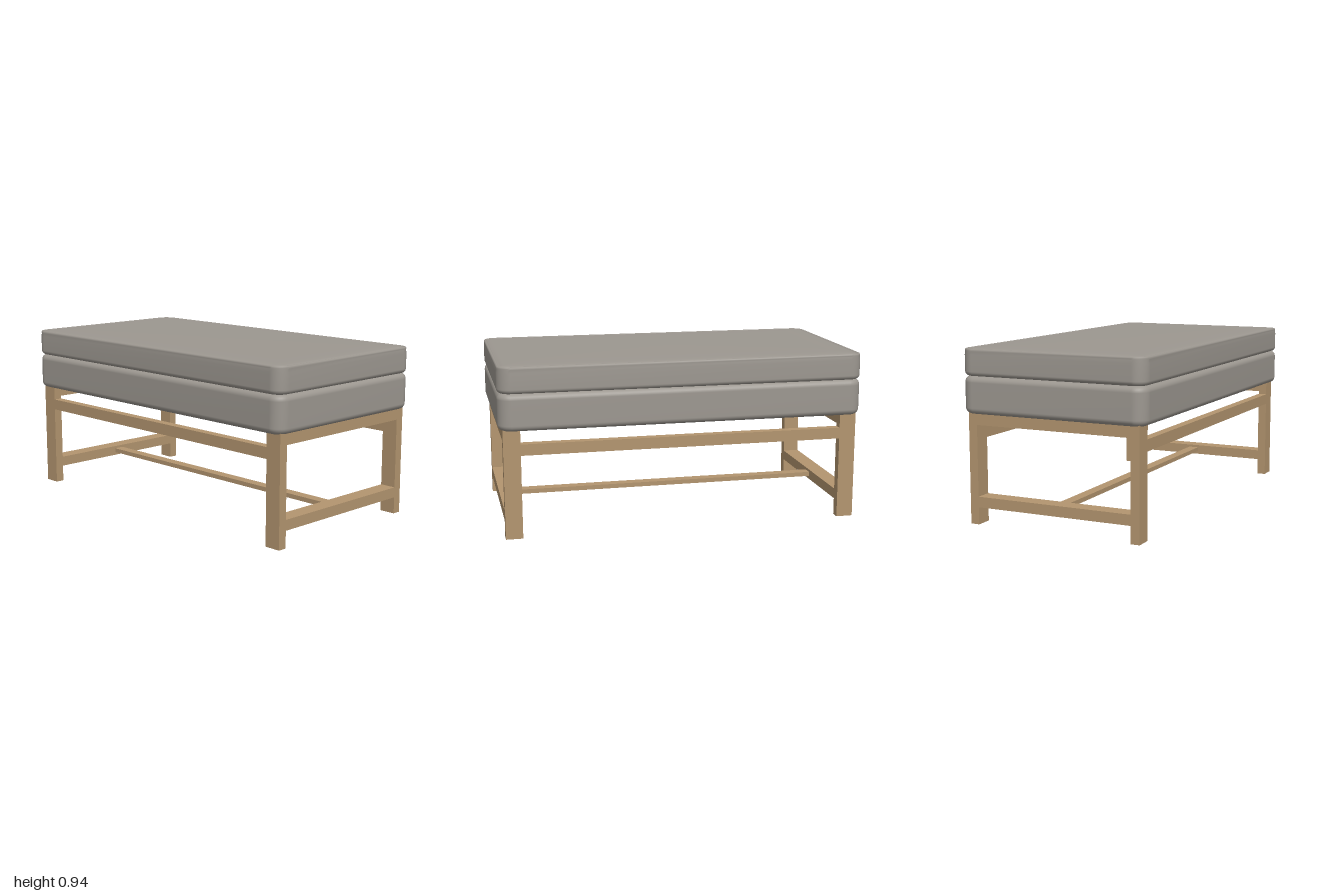
import * as THREE from 'three';

// Rounded-rectangle loop in plan, inset from the cushion's outer edge
function ring(halfX, halfZ, radius, inset, y, steps = 8) {
  const r = Math.max(radius - inset, 0.012);
  const cx = halfX - inset - r, cz = halfZ - inset - r;
  const pts = [];
  [[1, 1], [-1, 1], [-1, -1], [1, -1]].forEach(([sx, sz], q) => {
    for (let i = 0; i <= steps; i++) {
      const a = (q + i / steps) * Math.PI / 2;
      pts.push([sx * cx + r * Math.cos(a), y, sz * cz + r * Math.sin(a)]);
    }
  });
  return pts;
}

// Skin a cushion through [inset, y] profile points, bottom to top, with flat caps
function cushionGeometry(halfX, halfZ, radius, profile) {
  const rings = profile.map(([inset, y]) => ring(halfX, halfZ, radius, inset, y));
  const n = rings[0].length, last = (rings.length - 1) * n;
  const pos = rings.flat(2), index = [];
  for (let k = 0; k < rings.length - 1; k++) {
    for (let i = 0; i < n; i++) {
      const j = (i + 1) % n;
      const a = k * n + i, b = k * n + j, c = a + n, d = b + n;
      index.push(a, c, b, b, c, d);
    }
  }
  const bottom = pos.length / 3, top = bottom + 1;
  pos.push(0, profile[0][1], 0, 0, profile[profile.length - 1][1], 0);
  for (let i = 0; i < n; i++) {
    const j = (i + 1) % n;
    index.push(bottom, i, j, top, last + j, last + i);
  }
  const geo = new THREE.BufferGeometry();
  geo.setAttribute('position', new THREE.Float32BufferAttribute(pos, 3));
  geo.setIndex(index);
  geo.computeVertexNormals();
  return geo;
}

// Quarter-round edge of the profile; dir -1 is the lower edge, +1 the upper edge
function roundEdge(y, r, dir) {
  const out = [];
  for (let i = 0; i <= 6; i++) {
    const a = (i / 6) * Math.PI / 2;
    out.push([r * (1 - Math.cos(a)), y - dir * r * (1 - Math.sin(a))]);
  }
  return dir < 0 ? out.reverse() : out;
}

export function createModel() {
  const model = new THREE.Group();
  model.name = 'upholsteredBench';
  const wood = new THREE.MeshStandardMaterial({ color: 0xb3956f });
  wood.name = 'lightWood';
  const fabric = new THREE.MeshStandardMaterial({ color: 0x9c9790 });
  fabric.name = 'greyFabric';

  const add = (name, geo, mat) => {
    const mesh = new THREE.Mesh(geo, mat);
    mesh.name = name;
    model.add(mesh);
    return mesh;
  };
  // Box given by its minimum and maximum corners
  const beam = (name, x0, x1, y0, y1, z0, z1) =>
    add(name, new THREE.BoxGeometry(x1 - x0, y1 - y0, z1 - z0), wood)
      .position.set((x0 + x1) / 2, (y0 + y1) / 2, (z0 + z1) / 2);

  const legIn = 0.885, legOut = 0.977, zIn = 0.445, zOut = 0.494;

  for (const [side, s] of [['left', 1], ['right', -1]]) {
    const x0 = s > 0 ? legIn : -legOut, x1 = s > 0 ? legOut : -legIn;
    // Legs
    beam(side + 'FrontLeg', x0, x1, 0, 0.598, zIn, zOut);
    beam(side + 'BackLeg', x0, x1, 0, 0.598, -zOut, -zIn);
    // Upper side rail and lower stretcher
    beam(side + 'SideRail', x0, x1, 0.533, 0.595, -zIn, zIn);
    beam(side + 'SideStretcher', x0, x1, 0.093, 0.15, -zIn, zIn);
  }
  // Long rails, front and back
  beam('frontRail', -legIn, legIn, 0.455, 0.516, zIn, zOut);
  beam('backRail', -legIn, legIn, 0.455, 0.516, -zOut, -zIn);
  // Thin stretcher along the middle
  beam('centreStretcher', -legIn, legIn, 0.111, 0.136, -0.03, 0.03);

  // Thick seat base, rounded all round
  add('seatBase', cushionGeometry(1, 0.528, 0.07, [
    [0.2, 0.59], [0.06, 0.59],
    ...roundEdge(0.59, 0.032, -1),
    ...roundEdge(0.789, 0.032, 1),
    [0.06, 0.789], [0.2, 0.789],
  ]), fabric);

  // Top cushion with a piped seam around its slightly crowned top
  add('topCushion', cushionGeometry(1, 0.528, 0.07, [
    [0.2, 0.789], [0.05, 0.789],
    ...roundEdge(0.789, 0.024, -1),
    [0, 0.9], [0.003, 0.917], [0.001, 0.923], [0.004, 0.93], [0.01, 0.932],
    [0.016, 0.93], [0.02, 0.926], [0.026, 0.93], [0.045, 0.933],
    [0.1, 0.935], [0.2, 0.936],
  ]), fabric);

  return model;
}
